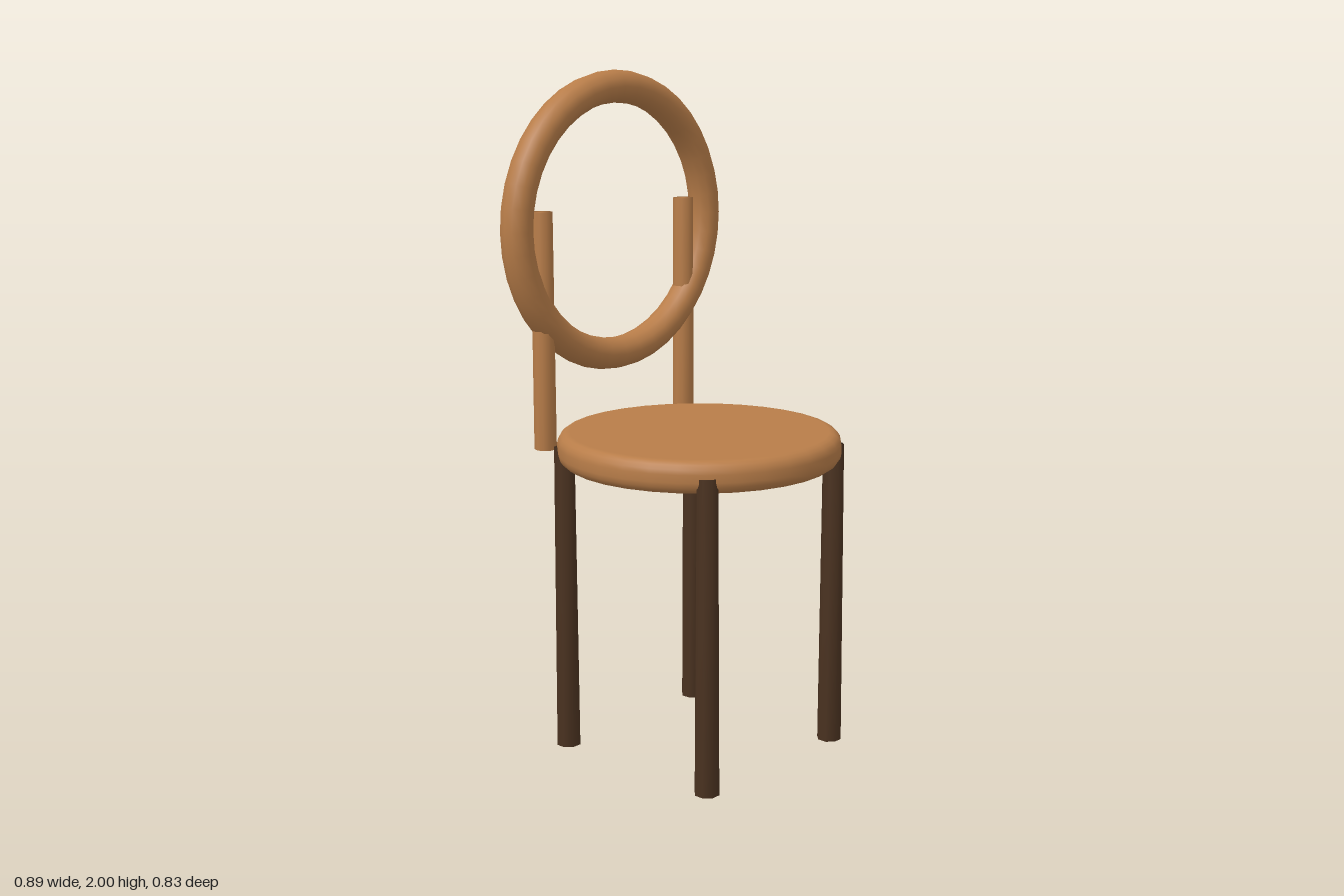
import * as THREE from 'three';
import { mergeVertices } from 'three/addons/utils/BufferGeometryUtils.js';

// Tapered rod whose normals are blended over the end caps
function rod(rTop, rBottom, y0, y1, sides) {
  let g = new THREE.CylinderGeometry(rTop, rBottom, y1 - y0, sides);
  g.rotateY(Math.PI / sides);
  g.translate(0, (y0 + y1) / 2, 0);
  g.deleteAttribute('normal');
  g.deleteAttribute('uv');
  g = mergeVertices(g, 1e-4);
  g.computeVertexNormals();
  return g;
}

export function createModel() {
  const wood = new THREE.MeshStandardMaterial({ name: 'warmWood', color: 0xb87d49 });
  const dark = new THREE.MeshStandardMaterial({ name: 'darkWood', color: 0x4a3220 });
  const group = new THREE.Group();
  group.name = 'chair';

  const add = (name, geometry, material, x, y, z) => {
    const mesh = new THREE.Mesh(geometry, material);
    mesh.name = name;
    mesh.position.set(x, y, z);
    group.add(mesh);
  };

  // Round seat with a softened rim
  const R = 0.417, r = 0.036, y0 = 0.873, y1 = 0.968;
  const profile = [new THREE.Vector2(0, y0)];
  for (const [cy, start] of [[y0 + r, -Math.PI / 2], [y1 - r, 0]]) {
    for (let i = 0; i <= 4; i++) {
      const a = start + (i / 4) * Math.PI / 2;
      profile.push(new THREE.Vector2(R - r + r * Math.cos(a), cy + r * Math.sin(a)));
    }
  }
  profile.push(new THREE.Vector2(0, y1));
  add('seat', new THREE.LatheGeometry(profile, 32), wood, 0, 0, 0);

  // Four tapered legs and two back posts
  const leg = rod(0.032, 0.037, 0, 0.92, 8);
  const post = rod(0.032, 0.033, 0.91, 1.605, 10);
  for (const side of [1, -1]) {
    const label = side > 0 ? 'Left' : 'Right';
    add('front' + label + 'Leg', leg, dark, side * 0.28, 0, 0.28);
    add('back' + label + 'Leg', leg, dark, side * 0.28, 0, -0.28);
    add('back' + label + 'Post', post, wood, side * 0.3, 0, -0.338);
  }

  // Ring backrest
  add('backRing', new THREE.TorusGeometry(0.397, 0.048, 12, 40), wood, 0, 1.555, -0.338);

  return group;
}
